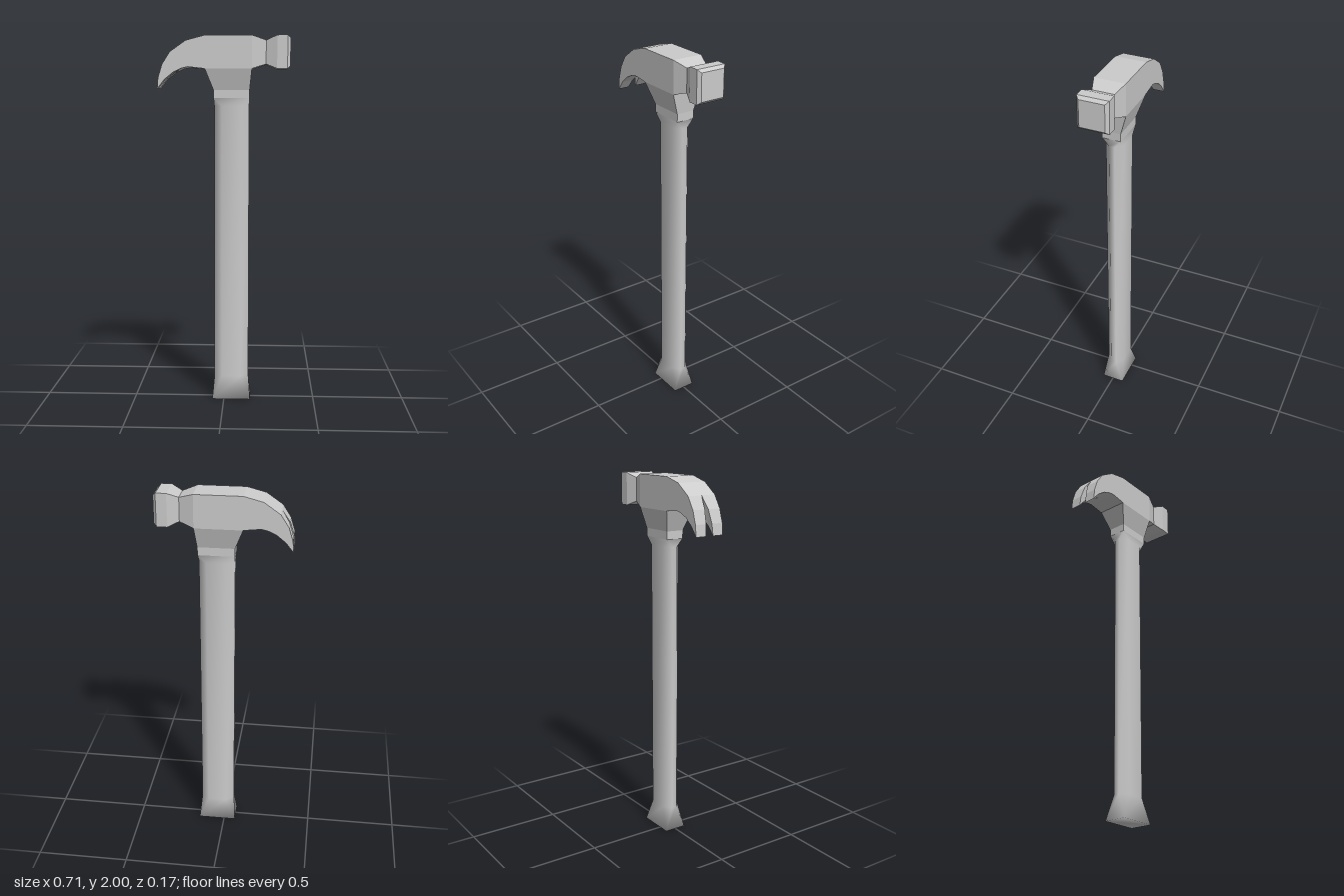
import * as THREE from 'three';
import { mergeVertices } from 'three/addons/utils/BufferGeometryUtils.js';

const CX = 0.041; // handle axis
const HALF = 0.083; // half thickness of the head

// Skin a list of equal-length rings, counterclockwise when seen from the last ring's side.
function loft(rings, capStart = true, capEnd = true) {
  const n = rings[0].length, last = (rings.length - 1) * n, index = [];
  for (let i = 0; i < rings.length - 1; i++) {
    for (let j = 0; j < n; j++) {
      const k = (j + 1) % n, a = i * n + j, b = i * n + k;
      index.push(a, b, b + n, a, b + n, a + n);
    }
  }
  for (let j = 1; j < n - 1; j++) {
    if (capStart) index.push(0, j + 1, j);
    if (capEnd) index.push(last, last + j, last + j + 1);
  }
  const g = new THREE.BufferGeometry();
  g.setAttribute('position', new THREE.Float32BufferAttribute(rings.flat(2), 3));
  g.setIndex(index);
  const merged = mergeVertices(g, 1e-5);
  merged.computeVertexNormals();
  return merged;
}

function part(name, geometry, flat) {
  const mesh = new THREE.Mesh(geometry, new THREE.MeshStandardMaterial({ color: 0xcccccc, flatShading: flat }));
  mesh.name = name;
  return mesh;
}

// Upright ring: rectangle of half sizes w, d with corners cut by cx, cz.
function boxRing(y, w, d, cx = 0, cz = 0, x = CX) {
  return [
    [w, d - cz], [w, cz - d], [w - cx, -d], [cx - w, -d],
    [-w, cz - d], [-w, d - cz], [cx - w, d], [w - cx, d],
  ].map(([px, pz]) => [x + px, y, pz]);
}

// Head section through an upper and a lower point, spanning z0 to z1.
const headRing = ([ux, uy], [lx, ly], z0, z1) => [[ux, uy, z0], [ux, uy, z1], [lx, ly, z1], [lx, ly, z0]];

export function createModel() {
  const model = new THREE.Group();

  // Rounded grip that squares off at both ends
  model.add(part('handle', loft([
    boxRing(0, 0.105, 0.062),
    boxRing(0.13, 0.094, 0.05, 0.042, 0.035),
    boxRing(1.63, 0.094, 0.05, 0.042, 0.035),
    boxRing(1.672, 0.096, 0.05),
  ], true, false), false));

  // Socket between handle and head
  model.add(part('collar', loft([
    boxRing(1.672, 0.096, 0.05),
    boxRing(1.715, 0.097, 0.05),
    boxRing(1.826, 0.125, HALF, 0, 0, 0.025),
  ]), true));

  // Head from the claw root to the striking face
  const bodyRings = [
    [[-0.285, 1.915], [-0.225, 1.828], HALF],
    [[-0.2, 1.974], [-0.19, 1.836], HALF],
    [[-0.1, 2], [-0.1, 1.826], HALF],
    [[0.15, 2], [0.15, 1.826], HALF],
    [[0.225, 1.975], [0.225, 1.85], 0.058],
    [[0.283, 2], [0.283, 1.826], HALF],
    [[0.338, 2], [0.338, 1.826], HALF],
    [[0.354, 1.985], [0.354, 1.841], 0.067],
  ].map(([u, l, z]) => headRing(u, l, -z, z));
  model.add(part('head', loft(bodyRings), true));

  // Two curved prongs with a tapering slit between them
  const prong = [
    [[-0.354, 1.72], [-0.354, 1.72], 0.022],
    [[-0.349, 1.78], [-0.315, 1.77], 0.018],
    [[-0.327, 1.85], [-0.268, 1.808], 0.011],
    [[-0.285, 1.915], [-0.225, 1.828], 0],
  ];
  for (const side of [1, -1]) {
    const rings = prong.map(([u, l, slit]) =>
      side > 0 ? headRing(u, l, slit, HALF) : headRing(u, l, -HALF, -slit));
    model.add(part(side > 0 ? 'frontClaw' : 'backClaw', loft(rings, false, false), true));
  }
  return model;
}
